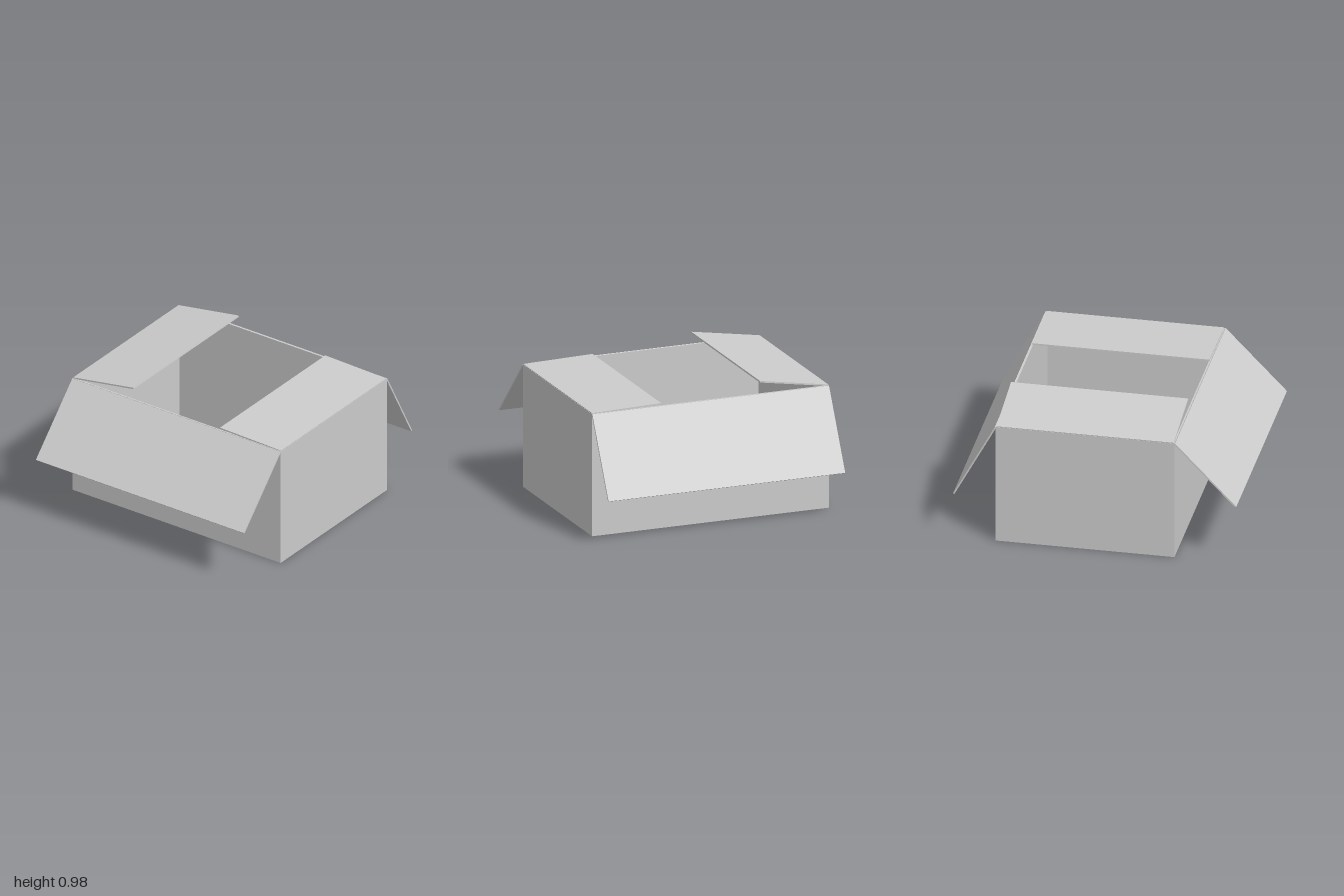
import * as THREE from 'three';

export function createModel() {
  const model = new THREE.Group();
  model.name = 'openBox';
  const cardboard = new THREE.MeshStandardMaterial({ color: 0xcccccc });
  cardboard.name = 'greyCardboard';

  const W = 0.885, H = 0.885, FRONT = 0.563, BACK = -0.7, T = 0.011;
  const depth = FRONT - BACK, midZ = (FRONT + BACK) / 2;

  const add = (name, geometry) => {
    const mesh = new THREE.Mesh(geometry, cardboard);
    mesh.name = name;
    model.add(mesh);
    return mesh;
  };

  // Four walls as one extruded ring
  const rectangle = (Type, w, d) => new Type([
    new THREE.Vector2(-w, -d), new THREE.Vector2(w, -d),
    new THREE.Vector2(w, d), new THREE.Vector2(-w, d),
  ]);
  const ring = rectangle(THREE.Shape, W, depth / 2);
  ring.holes.push(rectangle(THREE.Path, W - T, depth / 2 - T));
  const walls = new THREE.ExtrudeGeometry(ring, { depth: H, bevelEnabled: false });
  walls.rotateX(-Math.PI / 2);
  add('walls', walls).position.z = midZ;

  // Bottom panel, fitted inside the walls
  add('floor', new THREE.BoxGeometry(2 * (W - T), T, depth - 2 * T)).position.set(0, T / 2, midZ);

  // Side flaps: thin slabs from the wall top to a tip in the x-y plane
  const sideFlap = (name, x0, y0, x1, y1) => {
    const length = Math.hypot(x1 - x0, y1 - y0);
    const flap = add(name, new THREE.BoxGeometry(length, T, depth - 0.012));
    flap.position.set((x0 + x1) / 2, (y0 + y1) / 2, midZ);
    flap.rotation.z = Math.atan2(y1 - y0, x1 - x0);
  };
  sideFlap('rightFlap', -W + 0.002, H, -0.372, 0.97);
  sideFlap('leftFlap', W - 0.002, H - 0.001, 0.365, 0.896);

  // Front and back flaps: slabs hanging outward in the z-y plane
  const longFlap = (name, z0, y0, z1, y1) => {
    const length = Math.hypot(z1 - z0, y1 - y0);
    const flap = add(name, new THREE.BoxGeometry(2 * W, T, length));
    flap.position.set(0, (y0 + y1) / 2, (z0 + z1) / 2);
    flap.rotation.x = -Math.atan2(y1 - y0, z1 - z0);
  };
  longFlap('frontFlap', FRONT, H - 0.003, 0.996, 0.434);
  longFlap('backFlap', BACK, H - 0.003, -0.995, 0.335);

  return model;
}
